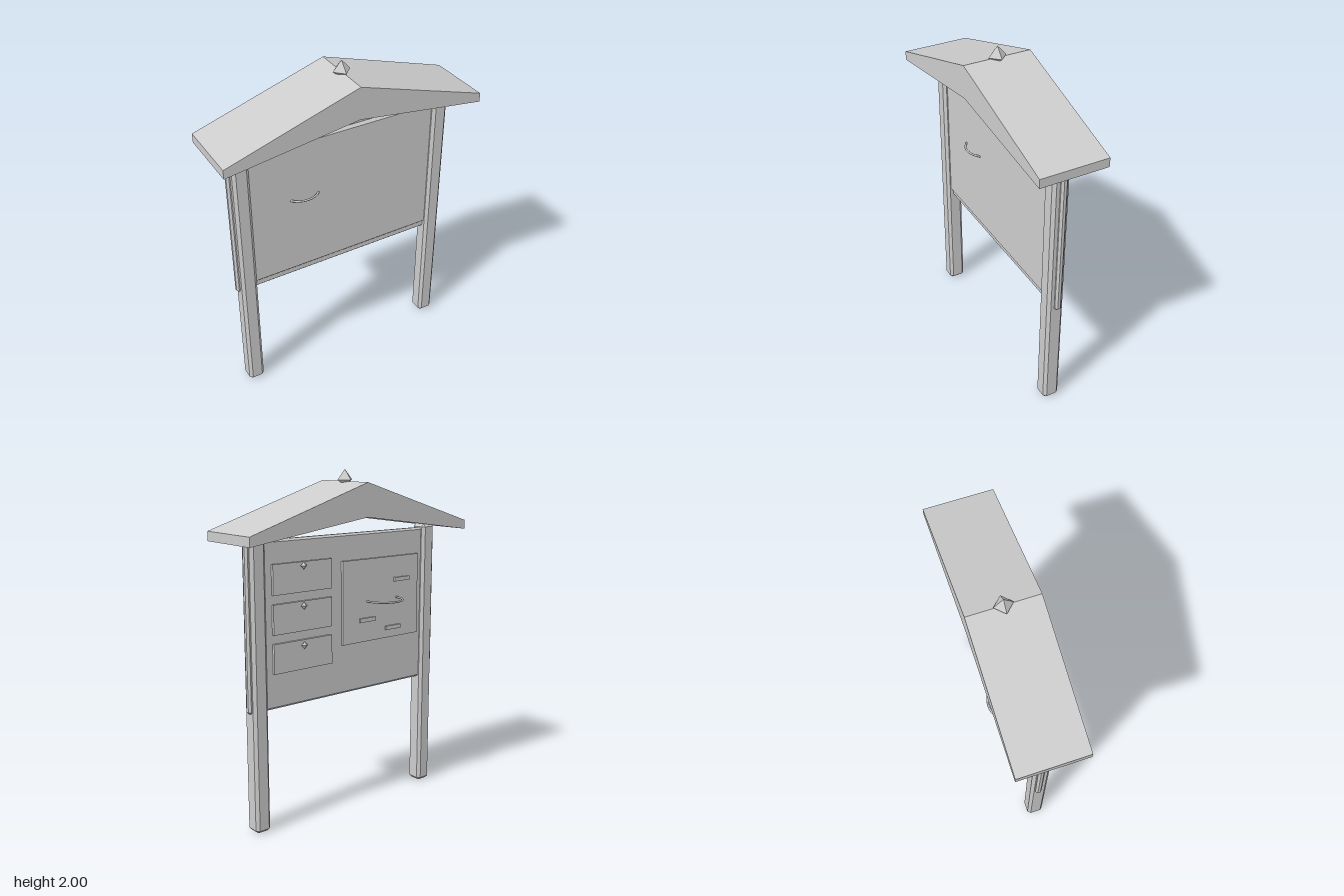
import * as THREE from 'three';
import { ConvexGeometry } from 'three/addons/geometries/ConvexGeometry.js';

const grey = new THREE.MeshStandardMaterial({ color: 0xcccccc });
grey.name = 'plain grey';

// Box between two corners with all edges chamfered by c
function chamferBox(min, max, c) {
  const half = max.map((v, i) => (v - min[i]) / 2);
  const mid = max.map((v, i) => (v + min[i]) / 2);
  const points = [];
  for (const sx of [-1, 1]) for (const sy of [-1, 1]) for (const sz of [-1, 1]) {
    for (let axis = 0; axis < 3; axis++) {
      const p = [sx, sy, sz].map((s, i) => mid[i] + s * (half[i] - (i === axis ? 0 : c)));
      points.push(new THREE.Vector3(...p));
    }
  }
  return new ConvexGeometry(points);
}

// Plain box between two corners
function box(min, max) {
  const size = max.map((v, i) => v - min[i]);
  return new THREE.BoxGeometry(...size).translate(...max.map((v, i) => (v + min[i]) / 2));
}

// Four-sided point with a short tapered foot, unit height, widest radius r
function pointedStud(r, foot, height) {
  const profile = [[0, 0], [r * 0.45, 0], [r, foot], [0, height]];
  return new THREE.LatheGeometry(profile.map(p => new THREE.Vector2(...p)), 4).toNonIndexed();
}

export function createModel() {
  const model = new THREE.Group();
  model.name = 'noticeBoard';
  const add = (name, geometry) => {
    const mesh = new THREE.Mesh(geometry, grey);
    mesh.name = name;
    model.add(mesh);
    return mesh;
  };

  // Posts
  for (const side of [-1, 1]) {
    const x = side * 0.628;
    add(side > 0 ? 'leftPost' : 'rightPost',
      chamferBox([x - 0.048, 0, -0.05], [x + 0.048, 1.66, 0.05], 0.017));
  }

  // Board with a raised panel on the front
  add('board', chamferBox([-0.695, 0.7, -0.028], [0.695, 1.64, 0.012], 0.012));
  add('frontPanel', chamferBox([-0.64, 0.74, -0.02], [0.64, 1.605, 0.027], 0.018));

  // Solid gabled roof
  const gable = new THREE.Shape([
    [-0.782, 1.632], [0, 1.742], [0.782, 1.632], [0.782, 1.685], [0, 1.932], [-0.782, 1.685],
  ].map(p => new THREE.Vector2(...p)));
  add('roof', new THREE.ExtrudeGeometry(gable, { depth: 0.4, bevelEnabled: false }).translate(0, 0, -0.2));

  // Roof finial
  const finial = pointedStud(0.053, 0.02, 0.08);
  finial.computeVertexNormals();
  add('finial', finial).position.y = 1.92;

  // Three pinned notes on the back
  for (let i = 0; i < 3; i++) {
    const top = 1.51 - i * 0.219;
    add('note', box([0.13, top - 0.169, -0.043], [0.535, top, -0.02]));
    const pin = pointedStud(0.022, 0.008, 0.028);
    pin.computeVertexNormals();
    const mesh = add('notePin', pin);
    mesh.rotation.x = -Math.PI / 2;
    mesh.position.set(0.333, 1.489 - i * 0.2235, -0.042);
  }

  // Large sheet with short bars and a ring passing through the board
  add('sheet', box([-0.543, 0.995, -0.043], [0.05, 1.485, -0.02]));
  for (const [x, y] of [[-0.404, 1.345], [-0.134, 1.126], [-0.337, 1.056]]) {
    add('sheetBar', box([x - 0.06, y - 0.012, -0.054], [x + 0.06, y + 0.012, -0.03]));
  }
  const ring = add('ring', new THREE.TorusGeometry(0.117, 0.006, 8, 40));
  ring.rotation.x = Math.PI / 2;
  ring.position.set(-0.25, 1.235, -0.053);

  return model;
}
